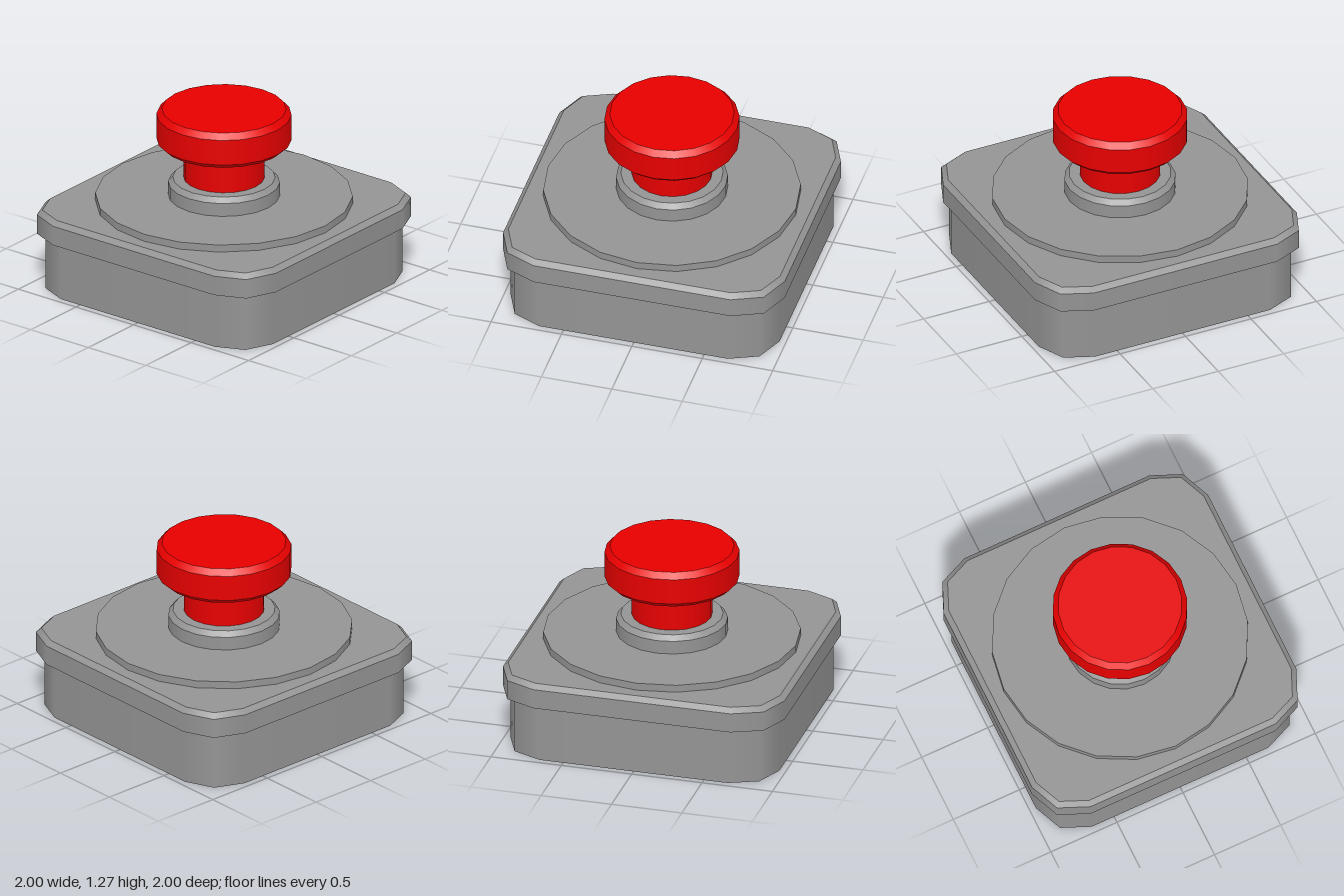
import * as THREE from 'three';

// Outlines are [x, z] points, running anticlockwise seen from above
function circle(r, sides = 20) {
  return Array.from({ length: sides }, (_, i) => {
    const a = (i / sides) * Math.PI * 2;
    return [r * Math.sin(a), r * Math.cos(a)];
  });
}

// Square with three-point rounded corners, offset inwards by d
function roundedSquare(d) {
  const c = 0.91 - 0.76 * d, e = 0.7 - 0.2 * d, h = 1 - d;
  const points = [];
  let corner = [[e, h], [c, c], [h, e]];
  for (let q = 0; q < 4; q++) {
    points.push(...corner);
    corner = corner.map(([x, z]) => [z, -x]);
  }
  return points;
}

// Stack of [outline, y] rings: smooth around each band, sharp between bands
function loft(rings, capBottom = true, capTop = true) {
  const pos = [], normals = [], index = [];
  const n = rings[0][0].length;
  const addRing = ([outline, y], normalAt) => {
    const start = pos.length / 3;
    outline.forEach(([x, z], i) => {
      pos.push(x, y, z);
      normals.push(...normalAt(i));
    });
    return start;
  };
  for (let k = 0; k < rings.length - 1; k++) {
    const [low, y0] = rings[k], [high, y1] = rings[k + 1];
    // Outward direction from the neighbouring points, tilted by the band's slope
    const bandNormal = (i) => {
      const p = low[(i + n - 1) % n], q = low[(i + 1) % n];
      const out = new THREE.Vector2(p[1] - q[1], q[0] - p[0]).normalize();
      const inset = (low[i][0] - high[i][0]) * out.x + (low[i][1] - high[i][1]) * out.y;
      const rise = y1 - y0;
      return new THREE.Vector3(out.x * rise, inset, out.y * rise).normalize().toArray();
    };
    const a = addRing(rings[k], bandNormal), b = addRing(rings[k + 1], bandNormal);
    for (let i = 0; i < n; i++) {
      const j = (i + 1) % n;
      index.push(a + i, a + j, b + j, a + i, b + j, b + i);
    }
  }
  const addCap = (ring, up) => {
    const s = addRing(ring, () => [0, up ? 1 : -1, 0]);
    for (let i = 1; i < n - 1; i++) {
      if (up) index.push(s, s + i, s + i + 1);
      else index.push(s, s + i + 1, s + i);
    }
  };
  if (capBottom) addCap(rings[0], false);
  if (capTop) addCap(rings[rings.length - 1], true);
  const geo = new THREE.BufferGeometry();
  geo.setAttribute('position', new THREE.Float32BufferAttribute(pos, 3));
  geo.setAttribute('normal', new THREE.Float32BufferAttribute(normals, 3));
  geo.setIndex(index);
  return geo;
}

export function createModel() {
  const group = new THREE.Group();
  const grey = new THREE.MeshStandardMaterial({ color: 0x949494 });
  const shell = new THREE.MeshStandardMaterial({ color: 0x949494, side: THREE.DoubleSide });
  const red = new THREE.MeshStandardMaterial({ color: 0xe70000 });

  const add = (name, geometry, material) => {
    const mesh = new THREE.Mesh(geometry, material);
    mesh.name = name;
    group.add(mesh);
  };

  // Thin-walled housing, open underneath
  const rim = roundedSquare(0);
  const wall = rim.map(([x, z]) => [x * 0.955, z * 0.955]);
  add('housing', loft([[wall, 0], [wall, 0.407]], false, false), shell);

  // Overhanging lid with a bevelled top edge
  add('lid', loft([[rim, 0.407], [rim, 0.547], [roundedSquare(0.035), 0.58]]), grey);

  // Round plate on the lid
  const plate = circle(0.88);
  add('plate', loft([[plate, 0.58], [plate, 0.632]], false), grey);

  // Collar around the stem
  const collar = circle(0.382);
  add('collar', loft([[collar, 0.632], [collar, 0.727], [circle(0.35), 0.762]], false), grey);

  // Push button: stem and bevelled head
  const stem = circle(0.276);
  add('buttonStem', loft([[stem, 0.762], [stem, 1.012]], false, false), red);
  const head = circle(0.462), face = circle(0.425);
  add('buttonHead', loft([[face, 1.012], [head, 1.047], [head, 1.23], [face, 1.27]]), red);

  return group;
}
